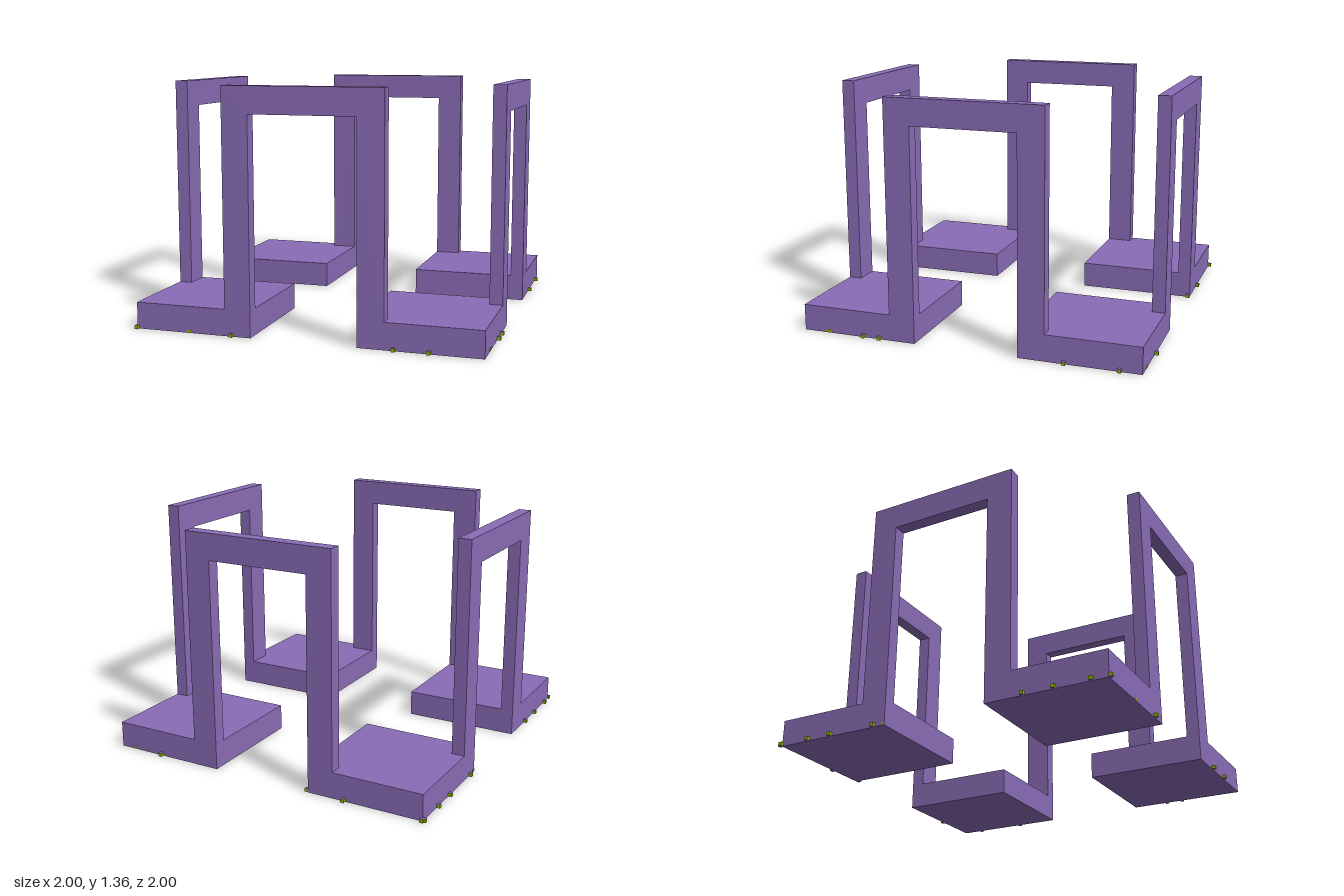
import * as THREE from 'three';

const OUT = 0.98, IN = 0.3, PAD_H = 0.15, TOP = 1.36;

export function createModel() {
  const group = new THREE.Group();
  const purple = new THREE.MeshStandardMaterial({ color: 0x8a6cb6 });
  purple.name = 'purple';
  const green = new THREE.MeshStandardMaterial({ color: 0x90b400 });
  green.name = 'green';

  const add = (name, geometry, material, parent = group) => {
    const mesh = new THREE.Mesh(geometry, material);
    mesh.name = name;
    parent.add(mesh);
    return mesh;
  };

  // Four square corner pads
  const padSize = OUT - IN, padMid = (OUT + IN) / 2;
  for (const sx of [-1, 1]) for (const sz of [-1, 1]) {
    add('cornerPad', new THREE.BoxGeometry(padSize, PAD_H, padSize), purple)
      .position.set(sx * padMid, PAD_H / 2, sz * padMid);
  }

  // One arch outline, standing on two neighbouring pads
  const outline = new THREE.Shape([
    [-0.45, PAD_H], [-IN, PAD_H], [-IN, 1.21], [IN, 1.21],
    [IN, PAD_H], [0.45, PAD_H], [0.45, TOP], [-0.45, TOP],
  ].map(([x, y]) => new THREE.Vector2(x, y)));
  const archGeometry = new THREE.ExtrudeGeometry(outline, { depth: 0.075, bevelEnabled: false });
  archGeometry.translate(0, 0, OUT - 0.075);

  // Nub positions along each side, as world x (front, back) or world z (left, right)
  const sides = [
    { name: 'front', turn: 0, sign: 1, nubs: [-0.98, -0.41, 0.5, 0.69], marks: [[-0.66, 0.03]] },
    { name: 'left', turn: 1, sign: -1, nubs: [-0.86, -0.56, 0.51, 0.61], marks: [[0.83, 0.04]] },
    { name: 'back', turn: 2, sign: -1, nubs: [-0.98, -0.52, 0.69], marks: [[0.89, 0.02]] },
    { name: 'right', turn: 3, sign: 1, nubs: [-0.98, -0.8, -0.65, -0.37, 0.52, 0.69, 0.89], marks: [[-0.31, 0.02]] },
  ];
  const nubGeometry = new THREE.BoxGeometry(0.02, 0.02, 0.02);
  const nubMaterials = [green, green, purple, purple, green, green];

  for (const { name, turn, sign, nubs, marks } of sides) {
    const side = new THREE.Group();
    side.name = name + 'Side';
    side.rotation.y = turn * Math.PI / 2;
    group.add(side);
    add('arch', archGeometry, purple, side);
    // Small nubs along the bottom edge
    for (const at of nubs) {
      add('nub', nubGeometry, nubMaterials, side).position.set(sign * at, 0.01, 0.99);
    }
    // Flat marks on the same edge
    for (const [at, width] of marks) {
      add('edgeMark', new THREE.BoxGeometry(width, 0.015, 0.004), green, side)
        .position.set(sign * at, 0.0085, OUT);
    }
  }

  // Single nub on an inner pad face
  add('innerNub', nubGeometry, nubMaterials).position.set(-0.29, 0.01, -0.97);

  return group;
}
